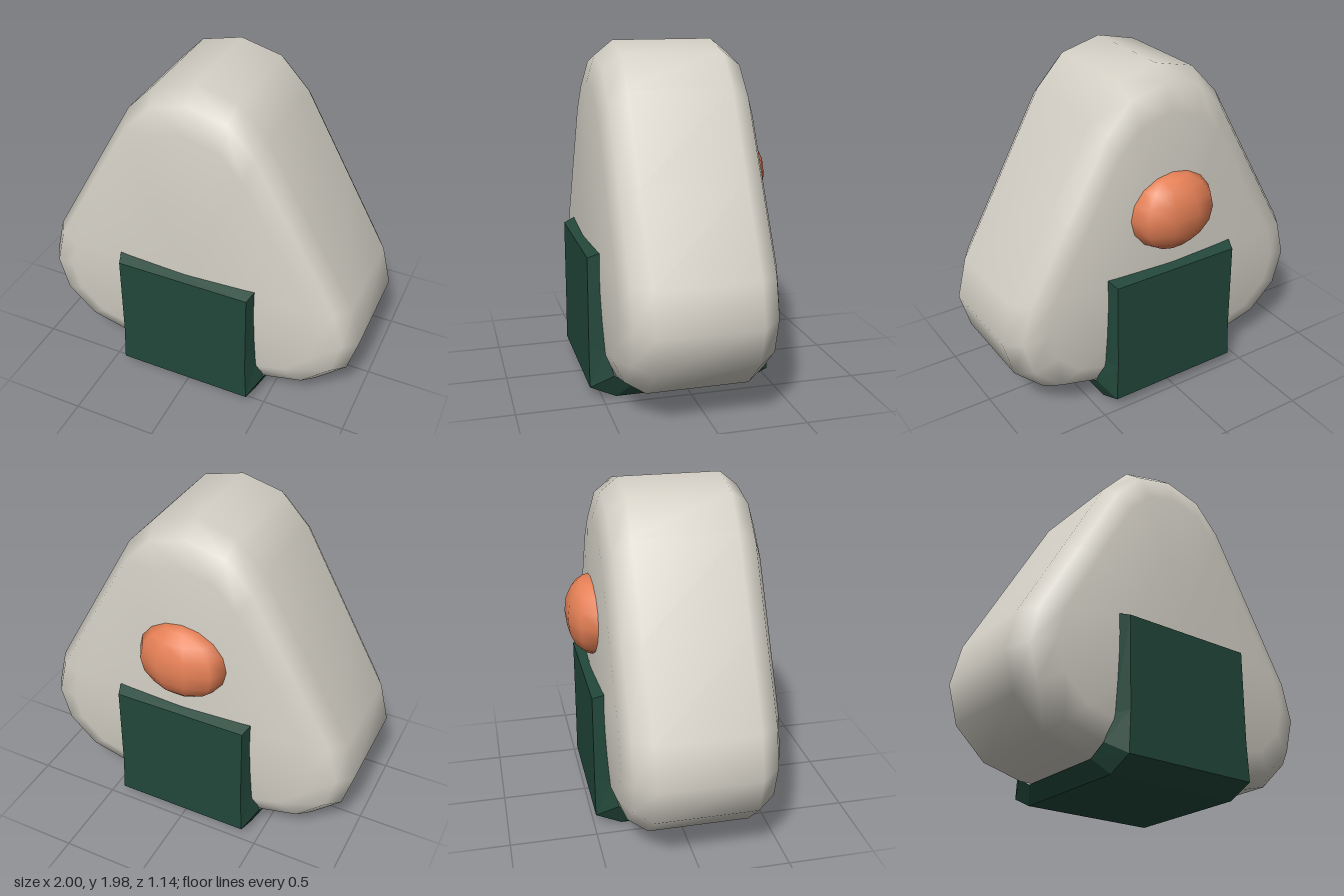
import * as THREE from 'three';

const riceMat = new THREE.MeshStandardMaterial({ color: 0xd4d0c6 });
riceMat.name = 'warm white rice';
const noriMat = new THREE.MeshStandardMaterial({ color: 0x22473a, flatShading: true });
noriMat.name = 'dark green seaweed';
const fillingMat = new THREE.MeshStandardMaterial({ color: 0xe58056 });
fillingMat.name = 'salmon orange';

const MID_Z = 0.04; // middle of the rice's depth

function build(name, positions, index, material) {
  const geo = new THREE.BufferGeometry();
  geo.setAttribute('position', new THREE.Float32BufferAttribute(positions, 3));
  geo.setIndex(index);
  geo.computeVertexNormals();
  const mesh = new THREE.Mesh(geo, material);
  mesh.name = name;
  return mesh;
}

// Rounded triangle, lofted through scaled copies of its outline
function riceBody() {
  const half = [[0.53, 0.1], [0.76, 0.16], [0.94, 0.33], [1, 0.55], [0.94, 0.79],
    [0.675, 1.265], [0.41, 1.74], [0.24, 1.92]];
  const outline = [[0, 0.09], ...half, [0, 1.98],
    ...half.slice().reverse().map(([x, y]) => [-x, y])];
  const layers = [[0.4, 0.468], [0.79, 0.443], [0.925, 0.395], [1, 0.29],
    [1, -0.29], [0.925, -0.395], [0.79, -0.443], [0.4, -0.468]];
  const n = outline.length, cy = 0.87;
  const pos = [], idx = [];
  for (const [s, z] of layers)
    for (const [x, y] of outline) pos.push(x * s, cy + (y - cy) * s, MID_Z + z);
  for (let l = 0; l < layers.length - 1; l++)
    for (let i = 0; i < n; i++) {
      const j = (i + 1) % n, a = l * n, b = a + n;
      idx.push(a + i, b + i, b + j, a + i, b + j, a + j);
    }
  // slightly domed front and back centres
  const front = layers.length * n, back = front + 1, last = front - n;
  pos.push(0, cy, MID_Z + 0.482, 0, cy, MID_Z - 0.482);
  for (let i = 0; i < n; i++) {
    const j = (i + 1) % n;
    idx.push(front, i, j, back, last + j, last + i);
  }
  return build('riceBody', pos, idx, riceMat);
}

// U-shaped band running down the front, under the base and up the back
function seaweedWrap() {
  // outer z, y, half width; inner z, y, half width
  const front = [
    [0.53, 0.83, 0.4, 0.455, 0.86, 0.425],
    [0.53, 0.3, 0.4, 0.44, 0.3, 0.435],
    [0.53, 0.07, 0.41, 0.4, 0.15, 0.47],
    [0.38, 0, 0.41, 0.29, 0.09, 0.47],
  ];
  const stations = [...front,
    ...front.slice().reverse().map(([oz, oy, ow, iz, iy, iw]) => [-oz, oy, ow, -iz, iy, iw])];
  const pos = [], idx = [];
  const quad = (a, b, c, d) => idx.push(a, b, c, a, c, d);
  for (const [oz, oy, ow, iz, iy, iw] of stations)
    pos.push(ow, oy, MID_Z + oz, -ow, oy, MID_Z + oz, -iw, iy, MID_Z + iz, iw, iy, MID_Z + iz);
  for (let s = 0; s < stations.length - 1; s++)
    for (const k of [0, 1, 3]) { // outer face and both bevelled sides
      const a = s * 4, m = (k + 1) % 4;
      quad(a + k, a + m, a + m + 4, a + k + 4);
    }
  const e = (stations.length - 1) * 4;
  quad(0, 3, 2, 1); // front top edge
  quad(e, e + 1, e + 2, e + 3); // back top edge
  return build('seaweedWrap', pos, idx, noriMat);
}

// Ball of filling peeking out of the back
function filling() {
  const mesh = new THREE.Mesh(new THREE.SphereGeometry(1, 10, 8), fillingMat);
  mesh.scale.set(0.27, 0.23, 0.152);
  mesh.position.set(0, 1.18, -0.425);
  mesh.name = 'filling';
  return mesh;
}

export function createModel() {
  const group = new THREE.Group();
  group.name = 'riceBall';
  group.add(riceBody(), seaweedWrap(), filling());
  return group;
}
